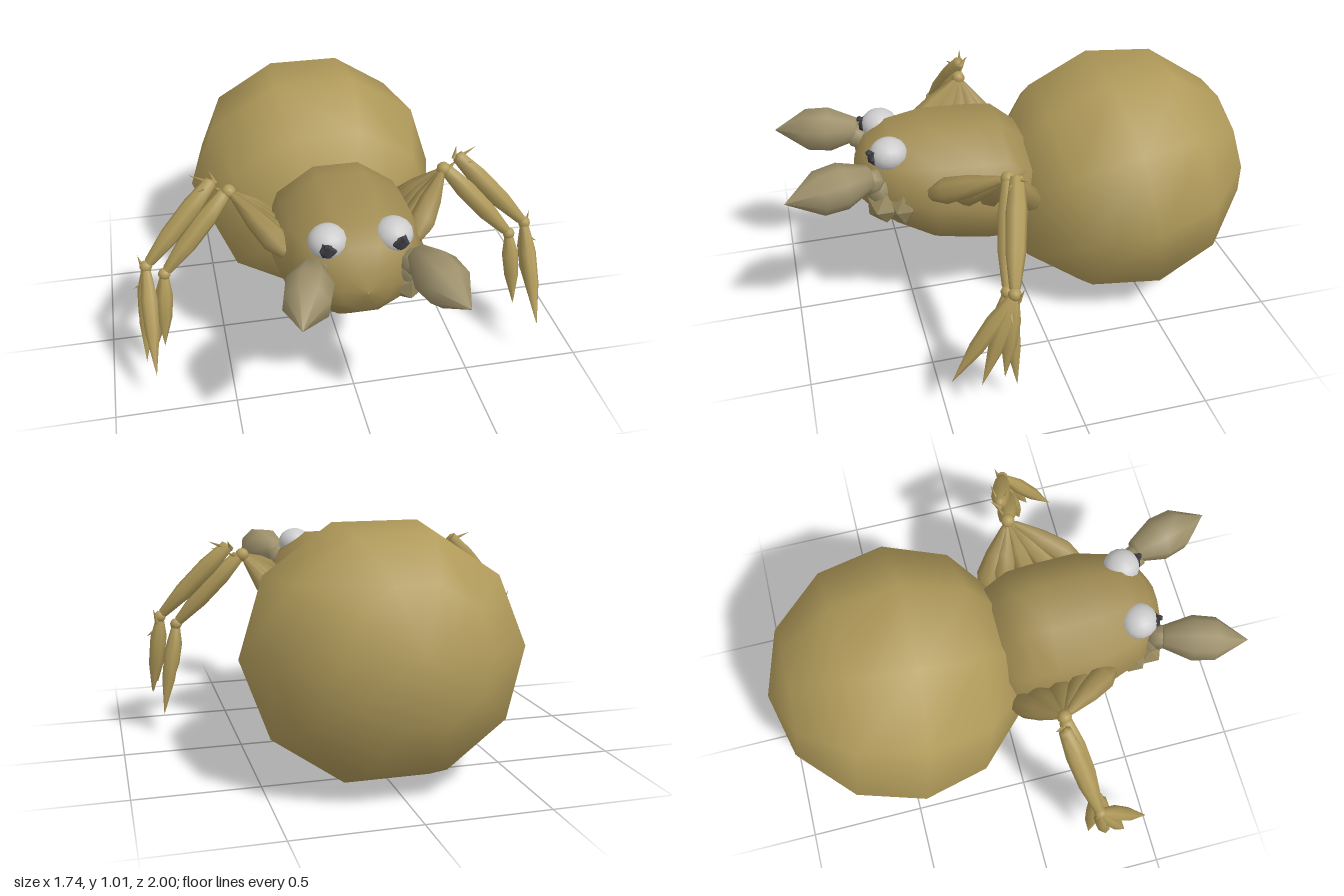
import * as THREE from 'three';

const mat = (color, flatShading = false) => new THREE.MeshStandardMaterial({ color, flatShading });
const V = (a) => new THREE.Vector3(...a);

// Spindle-shaped limb between two points; profile holds [fraction along, radius] pairs
function limb(name, from, to, profile, material, sides = 7) {
  const a = V(from), dir = V(to).sub(a), len = dir.length();
  const pts = profile.map(([t, r]) => new THREE.Vector2(r, t * len));
  const mesh = new THREE.Mesh(new THREE.LatheGeometry(pts, sides), material);
  mesh.position.copy(a);
  mesh.quaternion.setFromUnitVectors(new THREE.Vector3(0, 1, 0), dir.normalize());
  mesh.name = name;
  return mesh;
}

function blob(name, pos, size, geometry, material) {
  const mesh = new THREE.Mesh(geometry, material);
  mesh.position.set(...pos);
  mesh.scale.set(...size);
  mesh.name = name;
  return mesh;
}

// Closed ten-sided loft along z; each ring is [z, bottom, top, halfWidth]
function loft(rings, sides = 10) {
  const pos = [], idx = [];
  rings.forEach(([z, lo, hi, w]) => {
    for (let i = 0; i < sides; i++) {
      const a = (i / sides) * Math.PI * 2;
      pos.push(w * Math.cos(a), (lo + hi) / 2 + ((hi - lo) / 2) * Math.sin(a) / 0.951, z);
    }
  });
  for (let r = 0; r < rings.length - 1; r++) {
    for (let i = 0; i < sides; i++) {
      const j = (i + 1) % sides, a = r * sides;
      idx.push(a + i, a + j, a + sides + j, a + i, a + sides + j, a + sides + i);
    }
  }
  const g = new THREE.BufferGeometry();
  g.setAttribute('position', new THREE.Float32BufferAttribute(pos, 3));
  g.setIndex(idx);
  g.computeVertexNormals();
  return g;
}

const SKIN = mat(0xb09a5a), BODY = mat(0xa18c53), PALP = mat(0x9c8f6a);
const JAW = mat(0x94865c, true), EYE = mat(0xcccccc), PUPIL = mat(0x3a3a3e, true);

const FEMUR = [[0, 0], [0.05, 0.03], [0.25, 0.055], [0.55, 0.045], [0.9, 0.018], [1, 0]];
const SHIN = [[0, 0], [0.02, 0.028], [0.3, 0.042], [0.65, 0.04], [0.95, 0.022], [1, 0]];
const FOOT = [[0, 0], [0.03, 0.018], [0.3, 0.035], [0.6, 0.03], [1, 0]];
const SPIKE = [[0, 0.012], [1, 0]];
const CLUB = [[0, 0], [0.03, 0.05], [0.35, 0.095], [0.62, 0.09], [1, 0]];
const STALK = [[0, 0], [0.05, 0.035], [0.5, 0.055], [0.95, 0.035], [1, 0]];

// Everything that exists once per side, built for side s (+1 left, -1 right)
function buildSide(s) {
  const side = new THREE.Group();
  side.name = s > 0 ? 'leftSide' : 'rightSide';
  const m = ([x, y, z]) => [x * s, y, z];
  const addLimb = (name, a, b, profile, material, sides) =>
    side.add(limb(name, m(a), m(b), profile, material, sides));
  const ball = new THREE.SphereGeometry(1, 10, 7);
  const rock = new THREE.IcosahedronGeometry(1, 0);

  // Upper leg segments fanning out from the body to the knee
  const knee = [0.45, 0.83, 0.16];
  [[0.26, 0.56, 0.0], [0.25, 0.60, 0.09], [0.25, 0.62, 0.21], [0.24, 0.64, 0.33], [0.25, 0.68, 0.44]]
    .forEach((base) => addLimb('upperLeg', base, knee, FEMUR, BODY));
  side.add(blob('kneeJoint', m(knee), [0.03, 0.03, 0.03], ball, SKIN));

  // Two shins, each ending in a pair of pointed feet
  [
    { top: [0.51, 0.88, 0.14], ankle: [0.81, 0.56, 0.23], tips: [[0.85, 0.18, 0.37], [0.815, 0.19, 0.48]] },
    { top: [0.46, 0.83, 0.16], ankle: [0.74, 0.52, 0.24], tips: [[0.81, 0.11, 0.22], [0.77, 0.20, 0.31]] },
  ].forEach(({ top, ankle, tips }) => {
    addLimb('shin', top, ankle, SHIN, SKIN);
    side.add(blob('ankleJoint', m(ankle), [0.026, 0.026, 0.026], ball, SKIN));
    tips.forEach((tip) => addLimb('foot', ankle, tip, FOOT, SKIN));
  });
  addLimb('footSide', [0.81, 0.56, 0.23], [0.85, 0.20, 0.28], FOOT, SKIN);

  // Little thorns at the knee and feet
  [[[0.51, 0.86, 0.14], [0.6, 0.9, 0.12]], [[0.51, 0.86, 0.15], [0.58, 0.86, 0.19]],
    [[0.5, 0.86, 0.14], [0.52, 0.9, 0.1]], [[0.46, 0.82, 0.16], [0.53, 0.85, 0.12]],
    [[0.82, 0.5, 0.25], [0.87, 0.47, 0.25]], [[0.82, 0.53, 0.22], [0.84, 0.6, 0.2]]]
    .forEach(([a, b]) => addLimb('thorn', a, b, SPIKE, SKIN, 4));

  // Feeler: short stalk and pointed club
  addLimb('feelerStalk', [0.17, 0.62, 0.6], [0.18, 0.75, 0.65], STALK, PALP);
  addLimb('feelerJoint', [0.16, 0.71, 0.62], [0.22, 0.77, 0.69], STALK, PALP);
  addLimb('feelerClub', [0.2, 0.77, 0.65], [0.3, 0.76, 1.0], CLUB, PALP, 8);

  // Faceted jaws
  side.add(blob('jaw', m([0.18, 0.62, 0.61]), [0.085, 0.075, 0.075], rock, JAW));
  side.add(blob('jawBack', m([0.22, 0.62, 0.54]), [0.06, 0.075, 0.06], rock, JAW));

  // Eye with a dark pupil
  side.add(blob('eye', m([0.127, 0.82, 0.57]), [0.077, 0.066, 0.077], new THREE.SphereGeometry(1, 16, 10), EYE));
  side.add(blob('pupil', m([0.138, 0.82, 0.63]), [0.038, 0.036, 0.03], rock, PUPIL));
  side.add(blob('pupilGlint', m([0.145, 0.845, 0.65]), [0.014, 0.014, 0.014], rock, PUPIL));
  return side;
}

export function createModel() {
  const model = new THREE.Group();
  model.name = 'spider';

  // Big round abdomen, its pole tilted up at the back
  const abdomen = blob('abdomen', [0, 0.52, -0.45], [0.57, 0.56, 0.54],
    new THREE.SphereGeometry(1, 10, 6), SKIN);
  abdomen.rotation.x = -Math.PI / 2 + 0.19;
  model.add(abdomen);

  // Head and chest in one tapered body
  const body = new THREE.Mesh(loft([
    [-0.08, 0.5, 0.6, 0.05], [-0.06, 0.4, 0.74, 0.24], [0.04, 0.31, 0.82, 0.29], [0.1, 0.315, 0.87, 0.305],
    [0.2, 0.32, 0.88, 0.31], [0.4, 0.365, 0.89, 0.305], [0.55, 0.45, 0.87, 0.255],
    [0.64, 0.52, 0.82, 0.19], [0.69, 0.57, 0.75, 0.1], [0.71, 0.66, 0.661, 0.001],
  ]), BODY);
  body.name = 'headAndChest';
  model.add(body);

  model.add(buildSide(1), buildSide(-1));
  return model;
}
